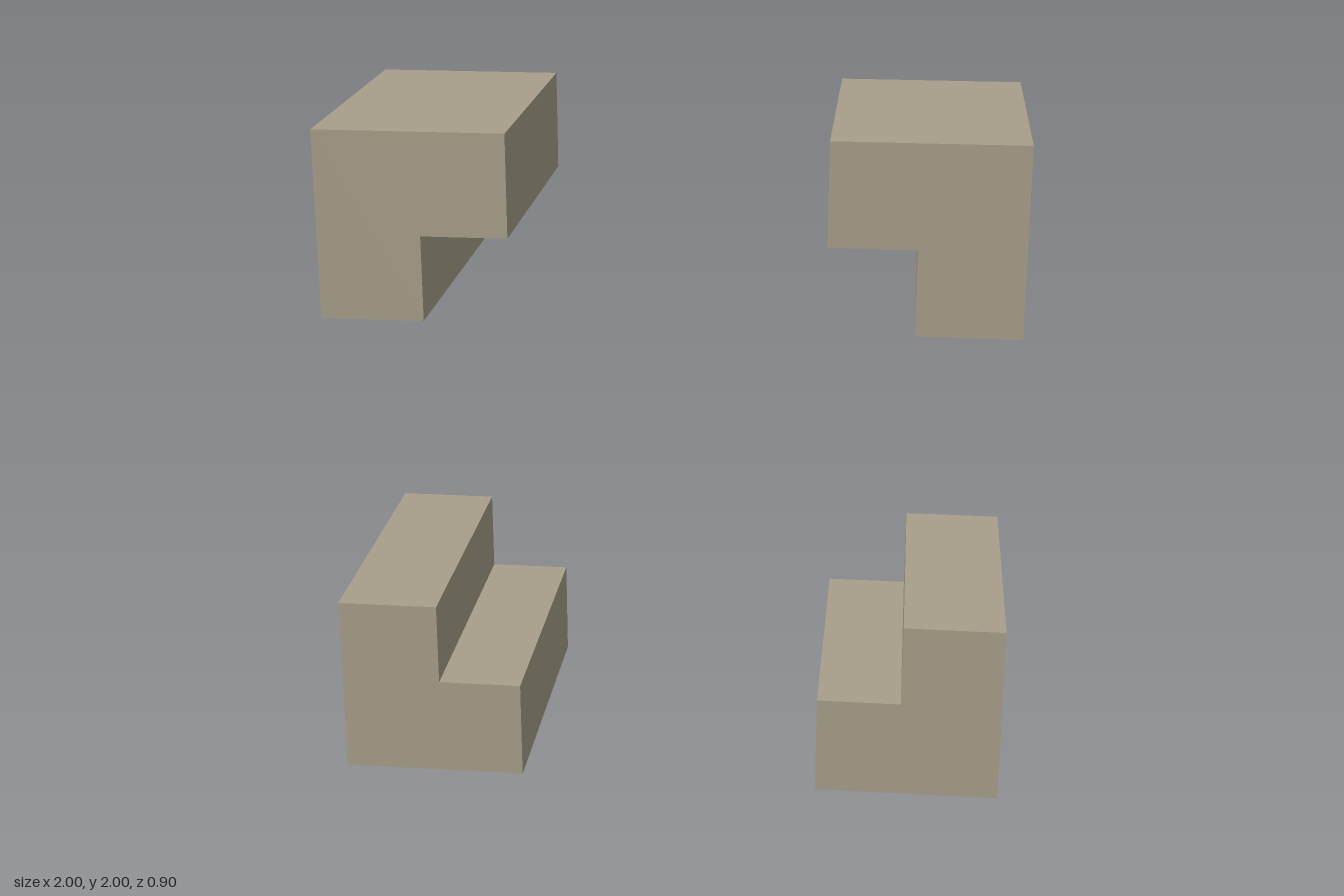
import * as THREE from 'three';

const DEPTH = 0.9;
const material = new THREE.MeshStandardMaterial({
  color: 0xa89f8a, flatShading: true, side: THREE.DoubleSide,
});

// Thin sheet running from point a to point b in the front plane, swept through the depth
function panel(name, a, b) {
  const geometry = new THREE.PlaneGeometry(a.distanceTo(b), DEPTH);
  geometry.rotateX(-Math.PI / 2);
  geometry.rotateZ(Math.atan2(b.y - a.y, b.x - a.x));
  geometry.translate((a.x + b.x) / 2, (a.y + b.y) / 2, 0);
  const mesh = new THREE.Mesh(geometry, material);
  mesh.name = name;
  return mesh;
}

// Hollow L-shaped corner shell: closed front, open back, one inner shelf
function cornerShell(name, sx, sy) {
  const group = new THREE.Group();
  group.name = name;
  const place = (x, y) => new THREE.Vector2(sx * x, 1 + sy * y);

  // L profile, clockwise so that the walls face outward
  const outline = [[1, 1], [1, 0.45], [0.7, 0.45], [0.7, 0.7], [0.45, 0.7], [0.45, 1]]
    .map(([x, y]) => place(x, y));
  if (sx * sy < 0) outline.reverse();

  outline.forEach((p, i) => group.add(panel('wall', p, outline[(i + 1) % outline.length])));

  // Shelf continuing the ledge to the outer wall
  group.add(panel('innerShelf', place(0.7, 0.7), place(1, 0.7)));

  const front = new THREE.Mesh(new THREE.ShapeGeometry(new THREE.Shape(outline)), material);
  front.name = 'frontPanel';
  front.position.z = DEPTH / 2;
  group.add(front);
  return group;
}

export function createModel() {
  const model = new THREE.Group();
  model.name = 'cornerShells';
  for (const sx of [-1, 1]) {
    for (const sy of [-1, 1]) {
      const name = (sy > 0 ? 'upper' : 'lower') + (sx > 0 ? 'Left' : 'Right') + 'Corner';
      model.add(cornerShell(name, sx, sy));
    }
  }
  return model;
}
